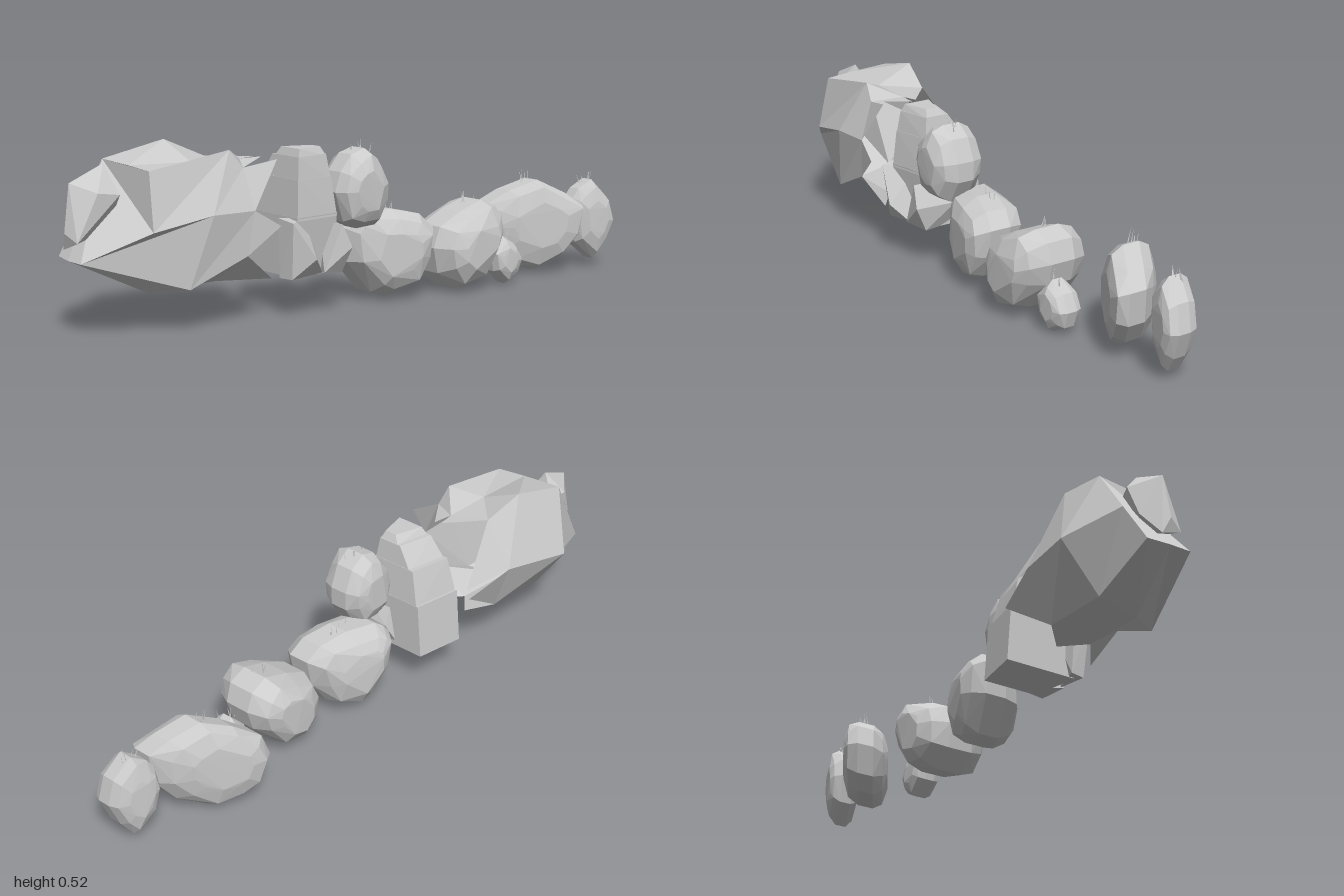
import * as THREE from 'three';
import { ConvexGeometry } from 'three/addons/geometries/ConvexGeometry.js';

const stone = new THREE.MeshStandardMaterial({ color: 0xcccccc, flatShading: true });
const shellStone = new THREE.MeshStandardMaterial({ color: 0xcccccc, flatShading: true, side: THREE.DoubleSide });

function seeded(seed) {
  let s = seed * 7919 + 17;
  return () => ((s = (s * 16807) % 2147483647) / 2147483647);
}

function hull(name, points) {
  const mesh = new THREE.Mesh(new ConvexGeometry(points.map(p => new THREE.Vector3(...p))), stone);
  mesh.name = name;
  return mesh;
}

// Faceted boulder: a side outline of [z, y] points, bulging to half width w around x,
// with skew sliding its z-ends sideways
function boulder(name, { x, w, skew = 0, seed, outline }) {
  const rand = seeded(seed);
  const middle = k => {
    const values = outline.map(p => p[k]);
    return (Math.min(...values) + Math.max(...values)) / 2;
  };
  const mz = middle(0), my = middle(1);
  const points = [];
  outline.forEach(([z, y]) => {
    for (const side of [-1, 1]) {
      for (const [scale, width] of [[1, 0.35], [0.82, 0.8], [0.5, 1]]) {
        const s = scale === 1 ? 1 : scale * (0.92 + rand() * 0.16);
        const dz = (z - mz) * s;
        points.push([x + skew * dz + side * w * width * (0.94 + rand() * 0.08), my + (y - my) * s, mz + dz]);
      }
    }
  });
  return hull(name, points);
}

// Tuft of thin grass blades
function tuft(x, y, z, seed) {
  const group = new THREE.Group();
  group.name = 'grassTuft';
  const rand = seeded(seed);
  for (let i = 0; i < 5; i++) {
    const h = 0.03 + rand() * 0.02;
    const blade = new THREE.Mesh(new THREE.ConeGeometry(0.0025, h, 4).translate(0, h / 2, 0), stone);
    blade.name = 'grassBlade';
    blade.position.set(x + (rand() - 0.5) * 0.03, y - 0.015, z + (rand() - 0.5) * 0.07);
    blade.rotation.set((rand() - 0.5) * 0.6, 0, (rand() - 0.5) * 0.5);
    group.add(blade);
  }
  return group;
}

// Hollow faceted shell: front cap, rings joined by triangles, jagged open back
function crystalShell() {
  const rings = [
    [[-.135, .485, .82], [0, .479, .815], [.10, .472, .81], [.135, .305, .82], [.03, .222, .99], [-.04, .222, .99], [-.11, .225, .98], [-.122, .355, .90]],
    [[-.11, .53, .63], [.02, .475, .62], [.11, .513, .55], [.165, .34, .64], [.13, .13, .70], [.02, .113, .77], [-.11, .14, .77], [-.22, .295, .75]],
    [[-.08, .475, .51], [.03, .473, .46], [.12, .46, .51], [.165, .34, .50], [.155, .21, .52], [.03, .122, .55], [-.10, .15, .54], [-.165, .32, .52]],
  ];
  // One shard for each gap between neighbours on the last ring
  const tips = [[.02, .475, .40], [.04, .475, .39], [.14, .478, .405], [.18, .29, .42], [.13, .13, .42], [-.03, .13, .47], [-.13, .27, .36], [-.13, .31, .345]];
  const n = tips.length, pos = [];
  const tri = (a, b, c) => pos.push(...a, ...b, ...c);
  for (let i = 0; i < n; i++) {
    const j = (i + 1) % n;
    for (let r = 0; r < 2; r++) {
      const [a, b] = [rings[r], rings[r + 1]];
      tri(a[i], b[i], a[j]);
      tri(a[j], b[i], b[j]);
    }
    tri(rings[2][i], tips[i], rings[2][j]);
    if (i > 0 && i < n - 1) tri(rings[0][0], rings[0][i], rings[0][j]);
  }
  const geo = new THREE.BufferGeometry();
  geo.setAttribute('position', new THREE.Float32BufferAttribute(pos, 3));
  geo.computeVertexNormals();
  const mesh = new THREE.Mesh(geo, shellStone);
  mesh.name = 'crystalShell';
  return mesh;
}

// Tapering block between two rectangles [x0, x1, back z0, front z1], narrower at the back
const slab = (name, y0, y1, bottom, top) => hull(name, [[bottom, y0], [top, y1]].flatMap(([[x0, x1, z0, z1], y]) =>
  [[x0 + .03, y, z0], [x1 - .02, y, z0], [x1, y, z1], [x0, y, z1]]));

export function createModel() {
  const model = new THREE.Group();
  model.name = 'rockRow';

  // Great crystal with a pointed growth on its face
  model.add(crystalShell());
  model.add(hull('faceCrystal', [
    [-.045, .485, .87], [-.105, .42, .90], [-.045, .438, .98], [.01, .41, .92], [-.10, .32, .94],
    [-.065, .25, .99], [.005, .275, .985], [-.04, .30, 1], [-.04, .30, .86], [.01, .40, .85], [-.09, .40, .85],
  ]));

  // Stepped stone tower
  model.add(slab('towerBase', .12, .30, [-.11, .13, .18, .34], [-.095, .15, .18, .34]));
  model.add(slab('towerMiddle', .29, .41, [-.09, .15, .18, .34], [-.06, .14, .195, .33]));
  model.add(slab('towerTop', .40, .475, [-.05, .14, .195, .33], [0, .13, .205, .32]));
  model.add(slab('towerCap', .47, .498, [.01, .13, .205, .32], [.03, .12, .22, .31]));
  model.add(hull('towerButtress', [
    [.10, .12, .37], [.15, .12, .36], [.19, .18, .30], [.17, .29, .37], [.11, .30, .38], [.10, .29, .28], [.15, .13, .25],
  ]));
  model.add(hull('towerHeel', [
    [.02, .12, .19], [.14, .12, .17], [.18, .20, .16], [.04, .20, .15], [.17, .27, .19], [.05, .27, .19], [.16, .13, .25],
  ]));

  // Trail of boulders
  const rocks = {
    highBoulder: { x: .105, w: .085, seed: 3, outline: [[.19, .36], [.16, .27], [.11, .245], [.04, .25], [0, .32],
      [0, .38], [.03, .45], [.08, .485], [.13, .47], [.17, .42]] },
    firstBoulder: { x: .065, w: .105, skew: -.3, seed: 5, outline: [[.10, .235], [.09, .13], [.03, .08], [.015, .03], [-.03, .015],
      [-.12, .055], [-.17, .13], [-.185, .22], [-.14, .265], [-.05, .285], [.05, .28], [.08, .26]] },
    secondBoulder: { x: .095, w: .125, seed: 8, outline: [[-.195, .15], [-.21, .07], [-.27, .015], [-.37, .04], [-.45, .13],
      [-.47, .20], [-.45, .26], [-.39, .285], [-.30, .255], [-.22, .215]] },
    smallBoulder: { x: .128, w: .048, seed: 11, outline: [[-.43, .11], [-.44, .05], [-.49, .005], [-.54, .03], [-.555, .08],
      [-.53, .13], [-.48, .16]] },
    thirdBoulder: { x: .03, w: .085, skew: -.62, seed: 14, outline: [[-.53, .16], [-.56, .07], [-.61, .03], [-.69, .015], [-.77, .06],
      [-.82, .13], [-.83, .23], [-.78, .27], [-.70, .315], [-.62, .28], [-.55, .23]] },
    lastBoulder: { x: .08, w: .058, skew: -.32, seed: 17, outline: [[-.85, .18], [-.87, .09], [-.92, .05], [-.935, .03], [-.97, .08],
      [-1, .16], [-.98, .24], [-.925, .30], [-.88, .27], [-.86, .24]] },
  };
  for (const [name, rock] of Object.entries(rocks)) {
    const [z, y] = rock.outline.reduce((best, p) => (p[1] > best[1] ? p : best));
    model.add(boulder(name, rock), tuft(rock.x, y, z, rock.seed));
  }
  return model;
}
